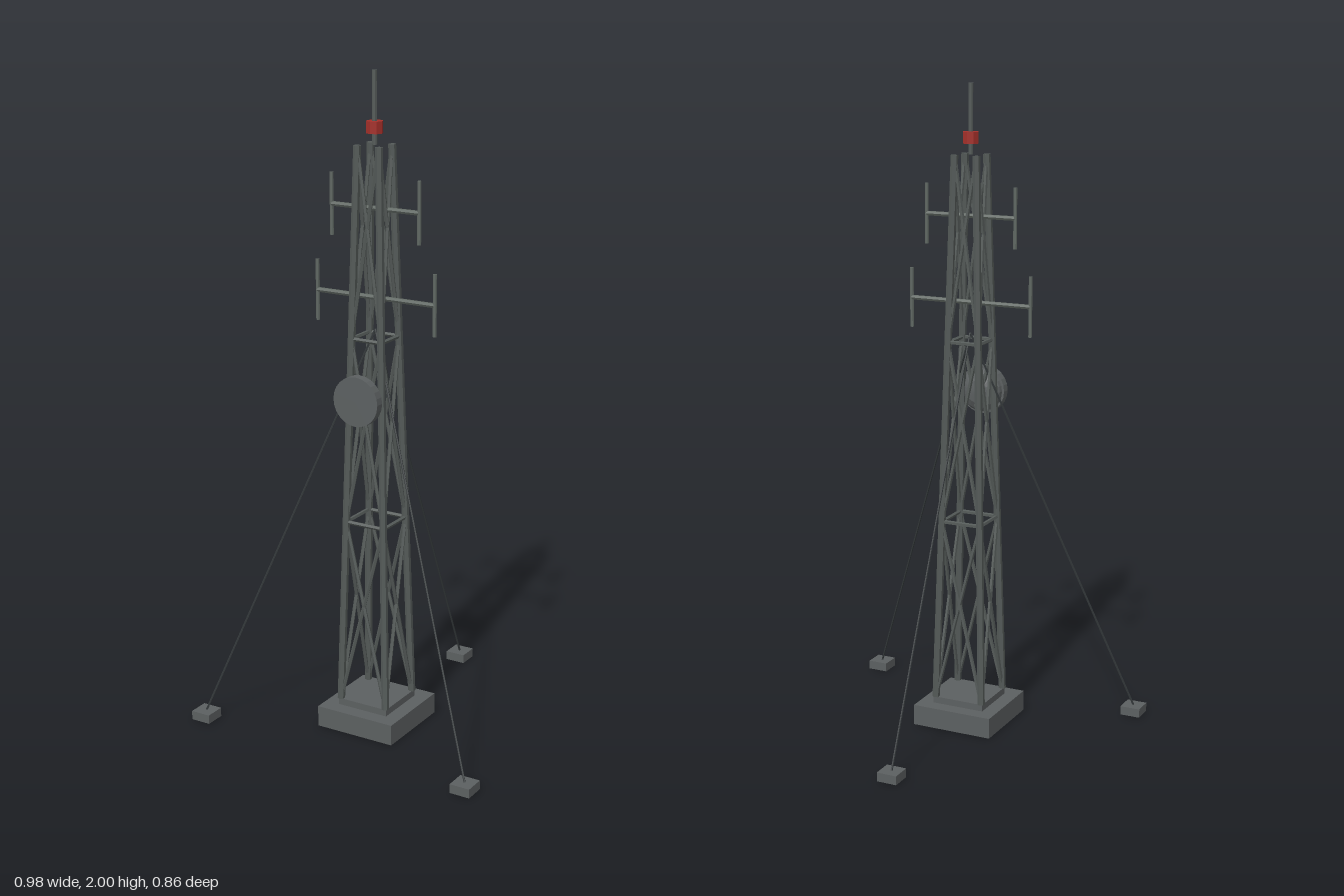
import * as THREE from 'three';

export function createModel() {
  const mat = (name, color) => {
    const m = new THREE.MeshStandardMaterial({ color, flatShading: true });
    m.name = name;
    return m;
  };
  const concrete = mat('concrete grey', 0x5c6061);
  const steel = mat('steel grey', 0x555b59);
  const aerialGrey = mat('aerial grey', 0x5f6762);
  const cableGrey = mat('cable grey', 0x353a3c);
  const red = mat('beacon red', 0xa5302a);

  const model = new THREE.Group();
  model.name = 'guyedMast';
  const tower = new THREE.Group();
  tower.name = 'tower';
  tower.position.z = 0.13;
  model.add(tower);

  const V = (x, y, z) => new THREE.Vector3(x, y, z);
  const add = (name, geometry, material, x = 0, y = 0, z = 0) => {
    const mesh = new THREE.Mesh(geometry, material);
    mesh.name = name;
    mesh.position.set(x, y, z);
    tower.add(mesh);
    return mesh;
  };
  // Straight round bar between two points
  const bar = (name, a, b, r, material, sides = 6) => {
    const d = b.clone().sub(a);
    const mesh = add(name, new THREE.CylinderGeometry(r, r, d.length(), sides), material);
    mesh.position.copy(a).add(b).multiplyScalar(0.5);
    mesh.quaternion.setFromUnitVectors(V(0, 1, 0), d.normalize());
    return mesh;
  };

  // Foundation
  add('foundation', new THREE.BoxGeometry(0.262, 0.065, 0.262), concrete, 0, 0.0325, 0);
  add('footPlate', new THREE.BoxGeometry(0.17, 0.022, 0.17), concrete, 0, 0.075, 0);

  // Lattice: four tapering legs, cross braces and horizontal ties
  const levels = [0.085, 0.66, 1.225, 1.79];
  const half = (y) => 0.079 - 0.043 * (y - 0.085) / 1.705;
  const signs = [[1, 1], [1, -1], [-1, -1], [-1, 1]];
  const corner = (i, y) => {
    const [sx, sz] = signs[i % 4];
    return V(sx * half(y), y, sz * half(y));
  };
  for (let i = 0; i < 4; i++) {
    bar('leg', corner(i, levels[0]), corner(i, levels[3]), 0.0115, steel);
    for (let k = 0; k < 3; k++) {
      const lo = levels[k], hi = levels[k + 1];
      bar('crossBrace', corner(i, lo), corner(i + 1, hi), 0.006, steel, 5);
      bar('crossBrace', corner(i + 1, lo), corner(i, hi), 0.006, steel, 5);
      if (k > 0) bar('horizontalTie', corner(i, lo), corner(i + 1, lo), 0.0065, steel, 5);
    }
  }

  // Side aerials: a crossarm with an upright rod at each end
  for (const [y, reach] of [[1.607, 0.147], [1.345, 0.199]]) {
    bar('crossarm', V(-reach, y, 0), V(reach, y, 0), 0.0075, aerialGrey);
    for (const s of [-1, 1]) {
      bar('aerialRod', V(s * reach, y - 0.092, 0), V(s * reach, y + 0.092, 0), 0.006, aerialGrey, 8);
    }
  }

  // Dish drum with a domed back, facing +z
  const profile = [[0, 0], [0.035, 0.004], [0.055, 0.014], [0.066, 0.03], [0.068, 0.042],
    [0.075, 0.042], [0.075, 0.069], [0, 0.069]].map(([r, h]) => new THREE.Vector2(r, h));
  const dish = add('dish', new THREE.LatheGeometry(profile, 24), concrete, 0, 1.056, 0.044);
  dish.rotation.x = Math.PI / 2;

  // Top mast and warning beacon
  bar('topMast', V(0, 1.79, 0), V(0, 2, 0), 0.0075, steel, 8);
  add('beacon', new THREE.CylinderGeometry(0.025, 0.025, 0.035, 8), red, 0, 1.84, 0);

  // Guy wires and ground anchors, 120 degrees apart
  for (let i = 0; i < 3; i++) {
    const a = Math.PI + i * Math.PI * 2 / 3;
    const x = 0.529 * Math.sin(a), z = 0.529 * Math.cos(a);
    add('anchor', new THREE.BoxGeometry(0.064, 0.028, 0.064), concrete, x, 0.014, z);
    bar('guyWire', V(x, 0.026, z), V(0, 1.25, 0), 0.0033, cableGrey, 5);
  }
  return model;
}
